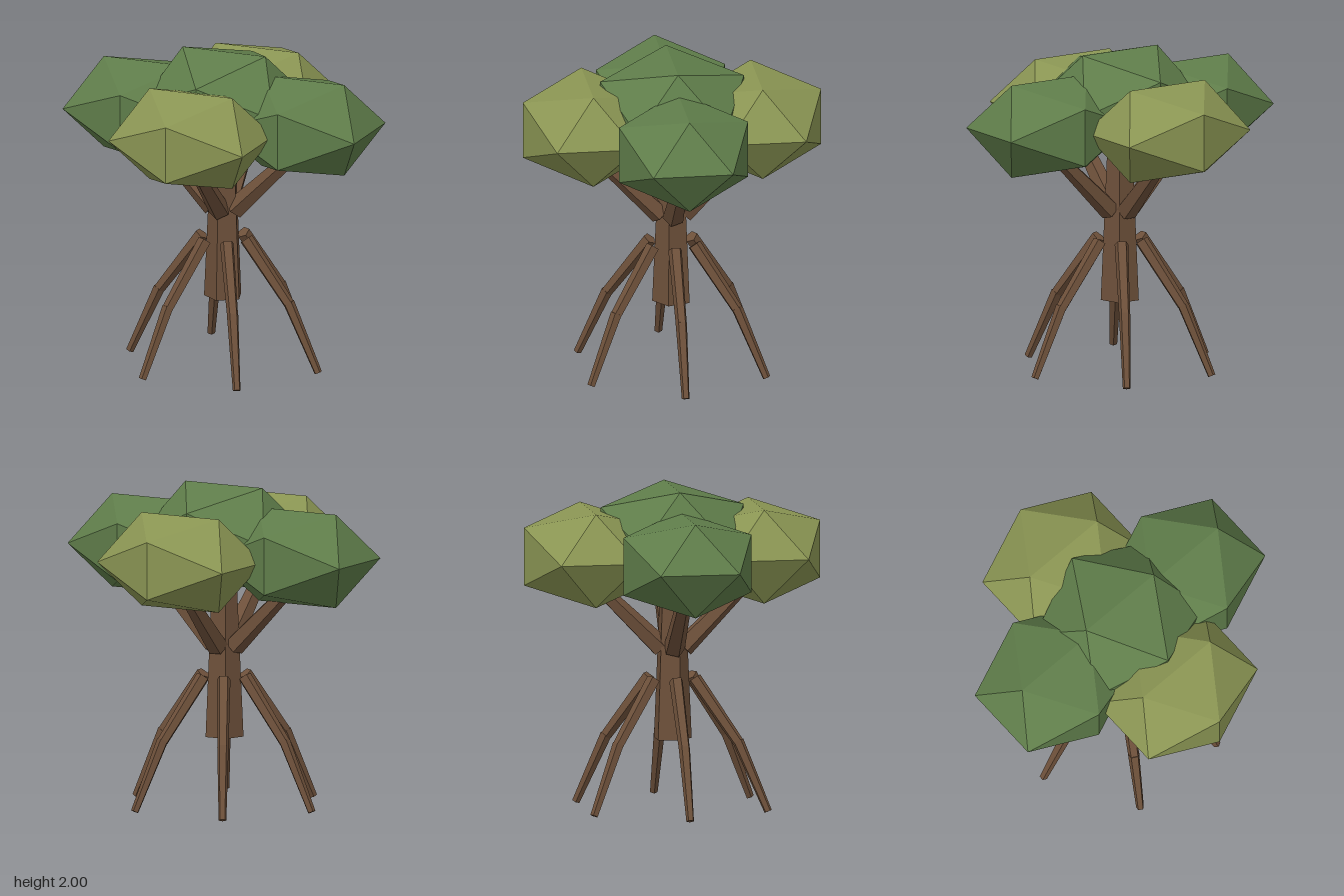
import * as THREE from 'three';

const mat = (name, color) => {
  const m = new THREE.MeshStandardMaterial({ color, flatShading: true });
  m.name = name;
  return m;
};

export function createModel() {
  const tree = new THREE.Group();
  tree.name = 'stiltRootTree';
  const bark = mat('barkBrown', 0x6d503a);
  const green = mat('leafGreen', 0x5f7d4a);
  const olive = mat('leafOlive', 0x8a9553);

  const add = (parent, name, geometry, material) => {
    const mesh = new THREE.Mesh(geometry, material);
    mesh.name = name;
    parent.add(mesh);
    return mesh;
  };

  // Five-sided tapered limb, starting at its own origin and growing up
  const limb = (rTop, rBottom, length) =>
    new THREE.CylinderGeometry(rTop, rBottom, length, 5).translate(0, length / 2, 0);

  // Trunk, floating above the ground on its roots
  add(tree, 'trunk', limb(0.077, 0.123, 1.05), bark).position.y = 0.435;

  // Four branches leaning out under the leaf clumps
  const lean = 0.79;
  for (const [dx, dz] of [[1, 0], [-1, 0], [0, 1], [0, -1]]) {
    const branch = add(tree, 'branch', limb(0.045, 0.068, 0.55), bark);
    branch.position.set(dx * 0.07, 1.0, dz * 0.07);
    branch.rotation.set(dz * lean, 0, -dx * lean);
  }

  // Six stilt roots, each bent at a knee; points are [distance out, height]
  const segment = (parent, name, from, to, rFrom, rTo) => {
    const out = to[0] - from[0], down = from[1] - to[1];
    const geometry = limb(rTo, rFrom, Math.hypot(out, down)).rotateX(Math.PI - Math.atan2(out, down));
    add(parent, name, geometry, bark).position.set(0, from[1], from[0]);
  };
  for (let i = 0; i < 6; i++) {
    const root = new THREE.Group();
    root.name = 'root';
    root.rotation.y = Math.PI / 2 + (i * Math.PI) / 3;
    segment(root, 'upperRoot', [0.147, 0.815], [0.43, 0.434], 0.044, 0.036);
    segment(root, 'lowerRoot', [0.43, 0.44], [0.627, 0.012], 0.037, 0.025);
    tree.add(root);
  }

  // Faceted leaf clumps
  const clump = (name, material, position, size) =>
    add(tree, name, new THREE.IcosahedronGeometry(1, 0).scale(...size), material).position.set(...position);
  for (const s of [1, -1]) {
    clump('sideLeaves', green, [s * 0.525, 1.588, 0], [0.525, 0.341, 0.47]);
    clump(s > 0 ? 'frontLeaves' : 'backLeaves', olive, [0, 1.588, s * 0.525], [0.525, 0.341, 0.47]);
  }
  clump('topLeaves', green, [0, 1.687, 0], [0.525, 0.368, 0.525]);

  return tree;
}
